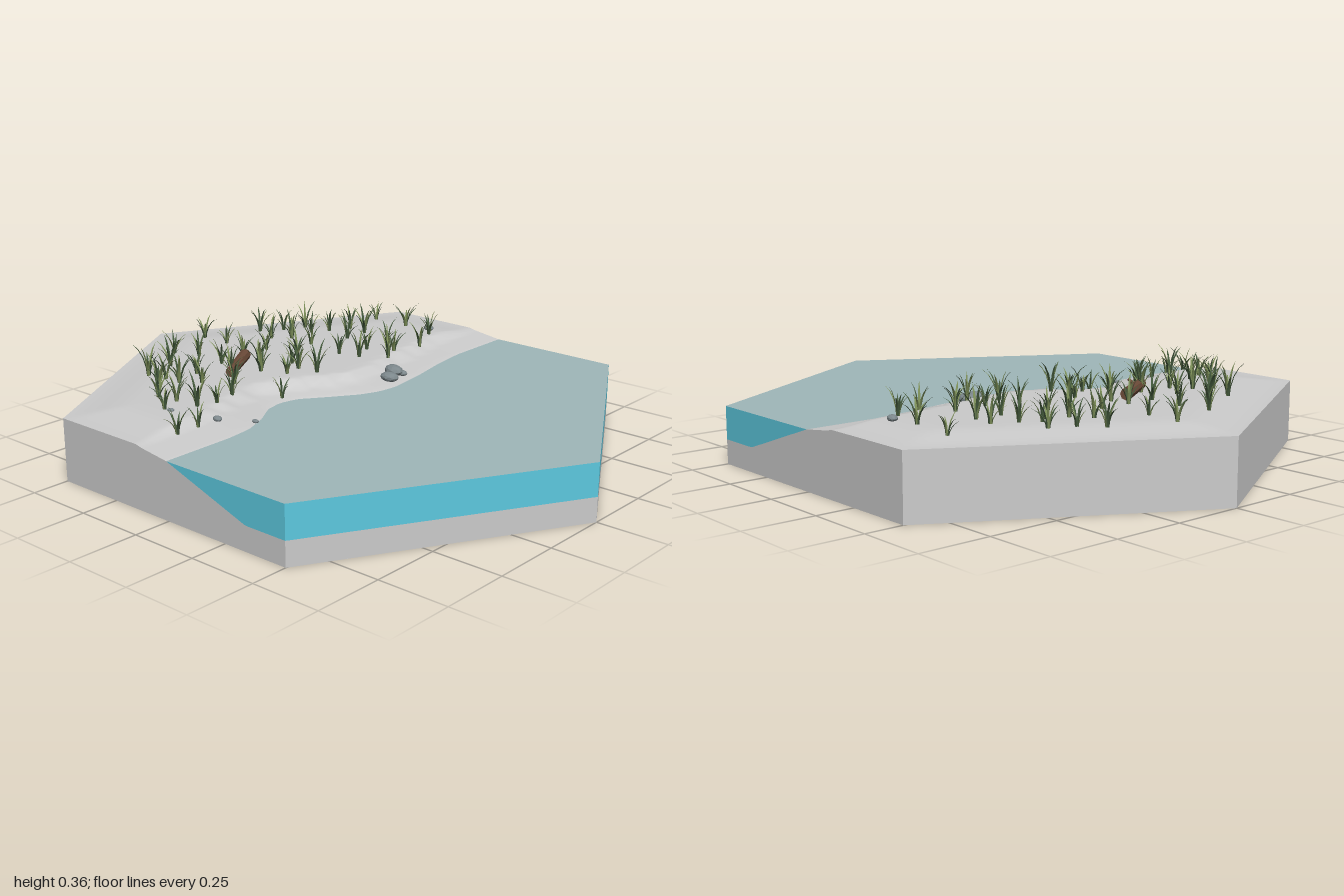
import * as THREE from 'three';
import { mergeGeometries } from 'three/addons/utils/BufferGeometryUtils.js';

const WATER = 0.2, DEPTH = Math.sqrt(3) / 2, NX = 72, NZ = 60;

let seed = 7;
const rand = (a = 0, b = 1) => {
  seed = (seed * 16807) % 2147483647;
  return a + (b - a) * (seed / 2147483647);
};

// Piecewise linear lookup through [position, value] pairs
function lookup(table, t) {
  let i = 0;
  while (i < table.length - 2 && t > table[i + 1][0]) i++;
  const [a, va] = table[i], [b, vb] = table[i + 1];
  return va + (vb - va) * THREE.MathUtils.clamp((t - a) / (b - a), 0, 1);
}

// x of the waterline and of the small bank behind it, along z
const SHORE = [[-0.87, 0], [-0.6, 0], [-0.45, 0.02], [-0.3, 0.05], [-0.15, 0.07], [-0.07, 0.06], [0, 0.03],
  [0.1, -0.04], [0.18, -0.1], [0.25, -0.115], [0.32, -0.1], [0.4, -0.05], [0.5, -0.01], [0.6, 0], [0.87, 0]];
const BANK = [[-0.87, -0.13], [-0.6, -0.13], [-0.4, -0.1], [-0.25, -0.07], [-0.1, -0.06], [0, -0.09],
  [0.1, -0.16], [0.25, -0.23], [0.4, -0.19], [0.55, -0.15], [0.87, -0.13]];

const halfWidth = (z) => 1 - Math.abs(z) / Math.sqrt(3);

// Ground height: plateau, stepped bank, beach, lake bed
function ground(x, z) {
  const shore = lookup(SHORE, z);
  if (x >= shore) return Math.max(0.085, WATER - (x - shore) * 0.34);
  const bank = lookup(BANK, Math.round(z / 0.09) * 0.09);
  const edge = Math.min(DEPTH - Math.abs(z), (halfWidth(z) - Math.abs(x)) * DEPTH);
  const inland = THREE.MathUtils.smoothstep(edge, 0, 0.2);
  const step = 1 - THREE.MathUtils.smoothstep(x, bank - 0.015, bank + 0.02);
  const beach = Math.min(0.018, (shore - x) * 0.13);
  return WATER + beach + step * (0.003 + 0.018 * inland);
}

function surface(positions, index) {
  const g = new THREE.BufferGeometry();
  g.setAttribute('position', new THREE.Float32BufferAttribute(positions, 3));
  g.setIndex(index);
  g.computeVertexNormals();
  return g;
}

// Sheet whose rows run along z and columns from left(z) to right(z)
function sheet(nx, left, right, height) {
  const pos = [], idx = [];
  for (let j = 0; j <= NZ; j++) {
    const z = -DEPTH + (2 * DEPTH * j) / NZ;
    for (let i = 0; i <= nx; i++) {
      const x = THREE.MathUtils.lerp(left(z), right(z), i / nx);
      pos.push(x, height(x, z), z);
      if (i < nx && j < NZ) {
        const a = j * (nx + 1) + i, b = a + nx + 1;
        idx.push(a, b, a + 1, b, b + 1, a + 1);
      }
    }
  }
  return surface(pos, idx);
}

// Outline of the tile, counter-clockwise seen from above
function outline() {
  const pts = [];
  for (let i = 0; i < NX; i++) pts.push([-0.5 + i / NX, DEPTH]);
  for (let j = NZ; j > 0; j--) { const z = -DEPTH + (2 * DEPTH * j) / NZ; pts.push([halfWidth(z), z]); }
  for (let i = 0; i < NX; i++) pts.push([0.5 - i / NX, -DEPTH]);
  for (let j = 0; j < NZ; j++) { const z = -DEPTH + (2 * DEPTH * j) / NZ; pts.push([-halfWidth(z), z]); }
  return pts;
}

// Vertical wall round the outline between two heights
function wall(low, high) {
  const pts = outline(), pos = [], idx = [];
  pts.forEach(([x, z], i) => {
    const [x2, z2] = pts[(i + 1) % pts.length];
    if (high(x, z) - low(x, z) + high(x2, z2) - low(x2, z2) < 1e-5) return;
    const n = pos.length / 3;
    pos.push(x, low(x, z), z, x2, low(x2, z2), z2, x2, high(x2, z2), z2, x, high(x, z), z);
    idx.push(n, n + 1, n + 2, n, n + 2, n + 3);
  });
  return surface(pos, idx).toNonIndexed();
}

// Folded, tapering leaf that arches outward
function blade(height, reach, width, angle) {
  const pos = [], idx = [], rows = 4;
  for (let k = 0; k <= rows; k++) {
    const t = k / rows, w = width * (1 - t) * (0.6 + 1.4 * t);
    const out = 0.004 + reach * t * t, y = height * (t - 0.18 * t * t * t);
    pos.push(out, y, -w, out + w * 0.5, y - w * 0.3, 0, out, y, w);
    for (let s = 0; s < 2 && k < rows; s++) {
      const a = k * 3 + s;
      idx.push(a, a + 3, a + 1, a + 1, a + 3, a + 4);
    }
  }
  return surface(pos, idx).rotateY(angle);
}

const TUFTS = [[-.47, -.68], [-.31, -.67], [-.17, -.64], [-.12, -.52], [-.45, -.5], [-.37, -.49], [-.23, -.46],
  [-.49, -.42], [-.6, -.4], [-.37, -.39], [-.53, -.36], [-.22, -.33], [-.1, -.31], [-.13, -.38], [-.64, -.32],
  [-.7, -.25], [-.53, -.25], [-.42, -.24], [-.59, -.2], [-.26, -.22], [-.18, -.24], [-.79, -.04], [-.67, -.04],
  [-.5, -.08], [-.36, -.1], [-.31, -.02], [-.43, .03], [-.25, .01], [-.17, 0], [-.5, .04], [-.63, .14],
  [-.73, .17], [-.5, .15], [-.33, .12], [-.24, .08], [-.14, .21], [-.62, .29], [-.48, .29], [-.39, .35],
  [-.3, .28], [-.22, .37], [-.6, .41], [-.52, .4], [-.45, .4], [-.49, .46], [-.2, .46], [-.31, .54],
  [-.39, .55], [-.22, .53], [-.28, .62], [-.12, .62], [-.12, .71], [-.38, .22]];

// x, z, radius
const ROCKS = [[-.015, -.24, .04], [.015, -.18, .036], [.01, -.255, .022], [-.21, -.69, .023],
  [-.12, .535, .019], [-.25, .62, .013], [-.04, .44, .013]];

export function createModel() {
  const model = new THREE.Group();
  const add = (name, geometry, color, options = {}) => {
    const mesh = new THREE.Mesh(geometry, new THREE.MeshStandardMaterial({ color, ...options }));
    mesh.name = name;
    model.add(mesh);
    return mesh;
  };
  const level = () => WATER;

  // Ground block
  add('groundSurface', sheet(NX, (z) => -halfWidth(z), halfWidth, ground), 0xcccccc);
  add('groundSides', wall(() => 0, ground), 0xcccccc);
  const base = new THREE.Shape(outline().map(([x, z]) => new THREE.Vector2(x, z)));
  add('groundBase', new THREE.ShapeGeometry(base).rotateX(Math.PI / 2), 0xcccccc);

  // Water
  add('waterSurface', sheet(1, (z) => lookup(SHORE, z), halfWidth, level), 0xa0b7ba);
  add('waterSides', wall((x, z) => Math.min(WATER, ground(x, z)), level), 0x5dc9df)
    .geometry.computeVertexNormals();

  // Grass tufts in two greens
  const leaves = [[], []];
  for (const [x, z] of TUFTS) {
    const size = rand(0.85, 1.3), turn = rand(0, 6.28), count = 7;
    for (let k = 0; k < count; k++) {
      const leaf = blade(size * rand(0.065, 0.12), size * rand(0.02, 0.05), size * 0.0055,
        turn + (k / count) * Math.PI * 2 + rand(-0.3, 0.3));
      leaves[k % 3 ? 0 : 1].push(leaf.translate(x, ground(x, z) - 0.004, z));
    }
  }
  add('grassDark', mergeGeometries(leaves[0]), 0x445a3c, { side: THREE.DoubleSide });
  add('grassLight', mergeGeometries(leaves[1]), 0x7c8f58, { side: THREE.DoubleSide });

  // Fallen log with a broken-off stub
  const log = new THREE.Group();
  log.name = 'fallenLog';
  const wood = new THREE.MeshStandardMaterial({ color: 0x6b4a38, flatShading: true });
  const trunk = new THREE.Mesh(new THREE.CylinderGeometry(0.018, 0.021, 0.215, 8).rotateX(Math.PI / 2), wood);
  trunk.name = 'trunk';
  const stub = new THREE.Mesh(new THREE.CylinderGeometry(0.005, 0.007, 0.035, 6).rotateZ(-0.9), wood);
  stub.name = 'stub';
  stub.position.set(0.018, 0.012, 0.05);
  log.add(trunk, stub);
  log.position.set(-0.405, 0.262, 0.16);
  log.rotation.y = Math.atan2(0.11, 0.18);
  model.add(log);

  // Flattened stones
  for (const [x, z, r] of ROCKS) {
    const stone = add('stone', new THREE.IcosahedronGeometry(r, 1), 0x7d888c, { flatShading: true });
    stone.scale.set(1, 0.5, 0.75);
    stone.rotation.y = rand(-0.4, 0.4);
    stone.position.set(x, Math.max(WATER, ground(x, z)) + r * 0.3, z);
  }
  return model;
}
